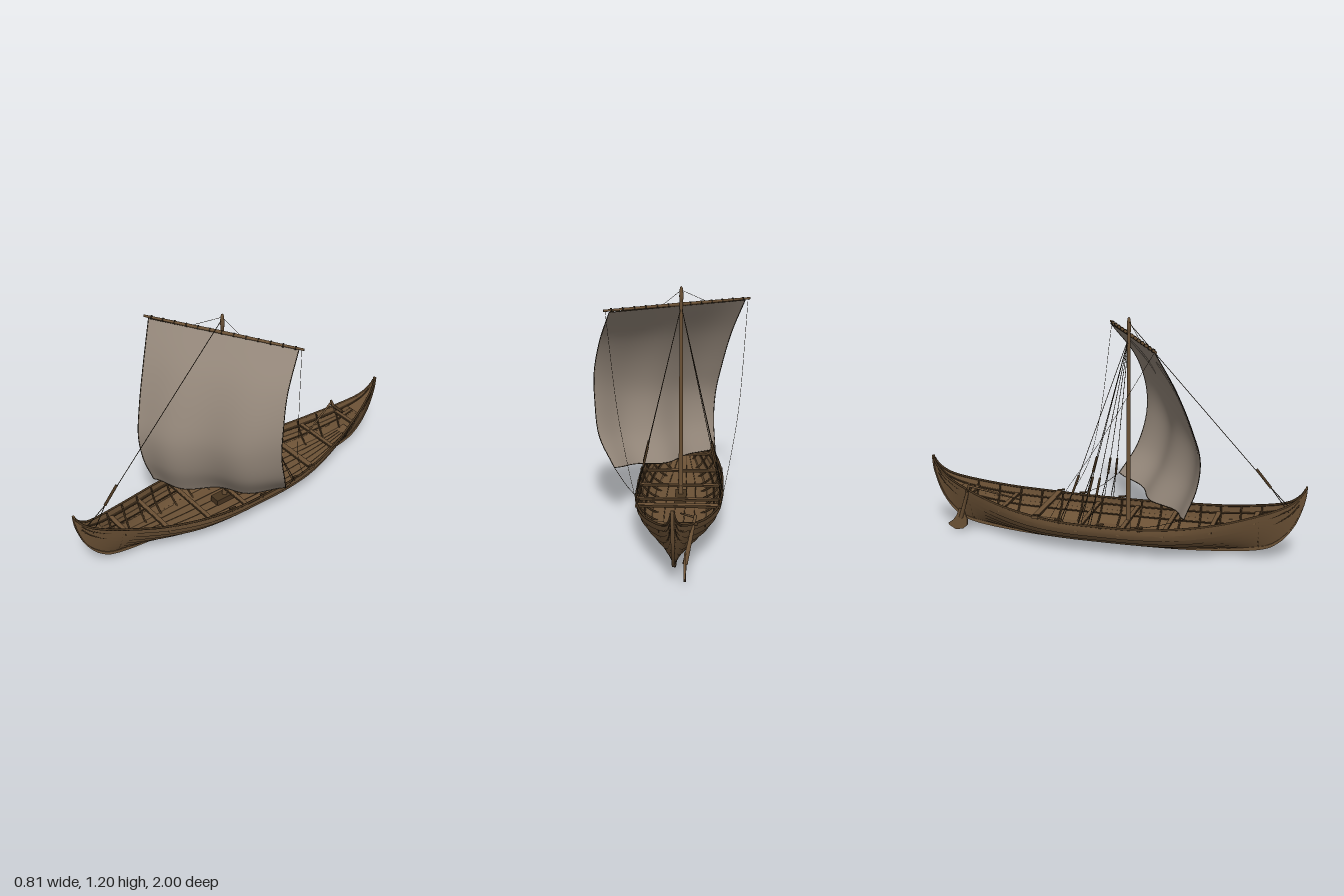
import * as THREE from 'three';
import { toCreasedNormals } from 'three/addons/utils/BufferGeometryUtils.js';

const CX = -0.05; // the hull's centre line
const V = (x, y, z) => new THREE.Vector3(x, y, z);
const mat = (name, color, side = THREE.FrontSide) => {
  const m = new THREE.MeshStandardMaterial({ color, side });
  m.name = name;
  return m;
};

// half-length stations: z, keel height, rail height, half width
const HALF = [[0, .028, .17, .22], [.2, .028, .173, .217], [.4, .031, .188, .192], [.6, .038, .215, .142],
  [.8, .065, .262, .074], [.9, .135, .297, .036], [.95, .21, .33, .019], [.98, .29, .365, .009], [.99, .34, .388, .005]];
const ST = [...HALF.slice(1).reverse().map(([z, ...r]) => [-z, ...r]), ...HALF];
const keelCurve = new THREE.CatmullRomCurve3(ST.map(s => V(s[0], s[1], 0)), false, 'catmullrom', 0.5);
const railCurve = new THREE.CatmullRomCurve3(ST.map(s => V(s[0], s[2], s[3])), false, 'catmullrom', 0.5);

// point on the hull skin: u along the length, t from keel (0) to rail (1)
function hullPoint(u, t, side = 1, out = 0) {
  const k = keelCurve.getPoint(u), r = railCurve.getPoint(u);
  const e = THREE.MathUtils.smoothstep(Math.abs(k.x), 0.3, 0.97), a = t * Math.PI / 2;
  const fx = THREE.MathUtils.lerp(Math.sin(a), t, e), fy = THREE.MathUtils.lerp(1 - Math.cos(a), t, e);
  const o = out * Math.min(1, r.z / 0.1);
  return V(side * (r.z * fx + o * fx), k.y + (r.y - k.y) * fy - o * (1 - t), k.x);
}
function uAt(z) {
  let a = 0, b = 1;
  for (let i = 0; i < 30; i++) { const m = (a + b) / 2; if (keelCurve.getPoint(m).x < z) a = m; else b = m; }
  return a;
}

// surface through rows of points
function loft(rows, crease) {
  const n = rows[0].length, idx = [];
  for (let i = 0; i < rows.length - 1; i++) for (let j = 0; j < n - 1; j++) {
    const a = i * n + j, b = a + n;
    idx.push(a, b, a + 1, a + 1, b, b + 1);
  }
  const g = new THREE.BufferGeometry().setFromPoints(rows.flat());
  g.setIndex(idx);
  g.computeVertexNormals();
  return crease ? toCreasedNormals(g, crease) : g;
}

export function createModel() {
  const wood = mat('oak', 0x6b5135), plank = mat('hull planks', 0x6b5135, THREE.DoubleSide);
  const dark = mat('dark oak', 0x47341f), cloth = mat('sailcloth', 0x94877a, THREE.DoubleSide), rope = mat('rope', 0x2f2518);
  const model = new THREE.Group(), hull = new THREE.Group(), rig = new THREE.Group();
  hull.name = 'hull'; rig.name = 'rigging'; hull.position.x = CX;
  model.add(hull, rig);

  const add = (parent, name, geo, m) => {
    const mesh = new THREE.Mesh(geo, m);
    mesh.name = name;
    parent.add(mesh);
    return mesh;
  };
  const rod = (parent, name, a, b, r1, m, r2 = r1, sides = 10) => {
    const d = b.clone().sub(a);
    const mesh = add(parent, name, new THREE.CylinderGeometry(r2, r1, d.length(), sides), m);
    mesh.position.copy(a).addScaledVector(d, 0.5);
    mesh.quaternion.setFromUnitVectors(V(0, 1, 0), d.normalize());
    return mesh;
  };
  const tube = (parent, name, pts, r, m, seg = 32) =>
    add(parent, name, new THREE.TubeGeometry(new THREE.CatmullRomCurve3(pts), seg, r, 6), m);
  const slab = (parent, name, pts, thick, m) => { // outline in (z, y)
    const g = new THREE.ExtrudeGeometry(new THREE.Shape(pts.map(p => new THREE.Vector2(...p))), { depth: thick, bevelEnabled: false });
    return add(parent, name, g.translate(0, 0, -thick / 2).rotateY(-Math.PI / 2), m);
  };
  const steps = (n, f) => Array.from({ length: n + 1 }, (_, i) => f(i / n));

  // overlapping planks, gunwale and stringers on both sides
  const STRAKES = 7;
  for (const s of [-1, 1]) {
    const rows = steps(64, u => {
      const row = [];
      for (let i = 0; i < STRAKES; i++) {
        for (let k = 0; k <= 2; k++) row.push(hullPoint(u, (i + k / 2) / STRAKES, s, 0.005 * (1 - k / 2)));
      }
      return s > 0 ? row.reverse() : row;
    });
    add(hull, 'planking', loft(rows, 0.35), plank);
    tube(hull, 'gunwale', steps(48, u => hullPoint(u, 1, s)), 0.006, dark, 96);
    for (const t of [0.62, 0.84]) tube(hull, 'stringer', steps(40, i => hullPoint(0.1 + 0.8 * i, t, s, -0.006)), 0.004, dark, 64);
  }

  // keel with its curved stems
  const outer = [[0, 0], [.3, .004], [.5, .014], [.7, .034], [.8, .055], [.85, .08], [.9, .125], [.95, .2], [.98, .28], [.995, .34], [1, .4]];
  const bottom = new THREE.SplineCurve([...outer.slice(1).reverse().map(([z, y]) => new THREE.Vector2(-z, y)),
    ...outer.map(p => new THREE.Vector2(...p))]).getPoints(80).map(p => [p.x, p.y]);
  const inner = steps(60, u => { const p = keelCurve.getPoint(1 - u); return [p.x, p.y + 0.006]; });
  slab(hull, 'keel', [...bottom, [.99, .4], ...inner, [-.99, .4]], 0.016, wood);

  // floor and small end decks
  const deck = (name, z0, z1, t) => add(hull, name, loft(steps(30, i => {
    const u = THREE.MathUtils.lerp(uAt(z0), uAt(z1), i);
    return [hullPoint(u, t, -1), hullPoint(u, t, 1)];
  })), plank);
  deck('floor', -0.8, 0.8, 0.4);
  deck('sternDeck', -0.97, -0.84, 0.82);
  deck('bowDeck', 0.84, 0.97, 0.82);
  for (const f of [-0.6, -0.2, 0.2, 0.6]) {
    tube(hull, 'floorSeam', steps(24, i => {
      const p = hullPoint(uAt(-0.75 + 1.5 * i), 0.4);
      return V(p.x * f, p.y, p.z);
    }), 0.0022, dark, 40);
  }

  // ribs and crossbeams
  for (let i = 0; i < 15; i++) {
    const u = uAt(-0.77 + i * 0.11);
    tube(hull, 'rib', steps(20, k => hullPoint(u, Math.abs(2 * k - 1) * 0.99, k < 0.5 ? -1 : 1, -0.006)), 0.005, dark, 28);
  }
  for (const z of [-0.77, -0.57, -0.35, -0.13, 0.09, 0.31, 0.54, 0.75]) {
    const p = hullPoint(uAt(z), 0.84), wide = z === -0.35;
    const y = wide ? hullPoint(uAt(z), 1).y : p.y;
    add(hull, 'crossbeam', new THREE.BoxGeometry(2 * p.x + (wide ? 0.03 : 0), 0.014, wide ? 0.03 : 0.02), wood).position.set(0, y, z);
    for (const e of [-1, 1])
      add(hull, 'beamEdge', new THREE.BoxGeometry(2 * p.x, 0.01, 0.003), dark).position.set(0, y, z + e * (wide ? 0.016 : 0.011));
  }
  for (const s of [-1, 1]) for (const z of [0.2, 0, -0.22, -0.34]) {
    const p = hullPoint(uAt(z), 1, s);
    rod(hull, 'cleat', V(p.x, p.y + 0.01, z - 0.02), V(p.x, p.y + 0.016, z + 0.02), 0.005, dark);
    rod(hull, 'cleatPost', V(p.x, p.y - 0.01, z), V(p.x, p.y + 0.013, z), 0.005, dark);
  }

  // side rudder and tiller
  const rudder = new THREE.Group();
  rudder.name = 'rudder';
  model.add(rudder);
  const blade = slab(rudder, 'rudderBlade', [[-.81, .13], [-.79, .075], [-.79, .04], [-.815, .015], [-.86, .01], [-.895, .03], [-.9, .04], [-.87, .062], [-.85, .09], [-.835, .13]], 0.01, wood);
  blade.position.x = -0.1;
  rod(rudder, 'rudderShaft', V(-0.145, 0.29, -0.75), V(-0.1, 0.08, -0.825), 0.007, wood, 0.012);
  rod(rudder, 'tiller', V(-0.145, 0.278, -0.755), V(-0.07, 0.2, -0.5), 0.006, wood, 0.004);
  rod(rudder, 'rudderMount', V(-0.155, 0.25, -0.765), V(-0.06, 0.25, -0.765), 0.008, dark);

  // mast and yard
  const mastZ = 0.09;
  rod(rig, 'mast', V(CX, 0.03, mastZ), V(CX, 1.18, mastZ), 0.013, wood, 0.008, 14);
  const head = add(rig, 'masthead', new THREE.LatheGeometry([[0, -.06], [.009, -.06], [.011, -.03], [.009, 0], [.006, .015], [0, .02]]
    .map(p => new THREE.Vector2(...p)), 12), wood);
  head.position.set(CX, 1.18, mastZ);
  add(rig, 'mastStep', new THREE.BoxGeometry(0.06, 0.035, 0.14), dark).position.set(CX, 0.07, mastZ);
  const yardA = V(-0.405, 1.105, 0.31), yardB = V(0.328, 1.105, -0.108);
  const yardMid = yardA.clone().lerp(yardB, 0.5);
  rod(rig, 'yard', yardMid, yardA, 0.009, wood, 0.006);
  rod(rig, 'yard', yardMid, yardB, 0.009, wood, 0.006);
  for (let i = 0; i <= 12; i++) {
    const p = yardA.clone().lerp(yardB, 0.05 + i * 0.075), d = V(0.87, 0, -0.49).multiplyScalar(0.003);
    rod(rig, 'yardLashing', p.clone().sub(d), p.clone().add(d), 0.0105, rope);
  }

  // billowing sail between two curved side edges
  const edgeL = new THREE.CatmullRomCurve3([V(-.38, 1.097, .3), V(-.31, .9, .39), V(-.26, .7, .46), V(-.23, .55, .495), V(-.22, .4, .48), V(-.23, .237, .42)]);
  const edgeR = new THREE.CatmullRomCurve3([V(.3, 1.097, -.1), V(.365, .92, .02), V(.4, .75, .07), V(.4, .6, .075), V(.375, .42, .03), V(.29, .275, -.05)]);
  const sailPoint = (u, v) => {
    const p = edgeL.getPoint(v).lerp(edgeR.getPoint(v), u);
    const belly = 0.045 * Math.sin(2 * Math.PI * u) ** 2 * v + 0.02 * Math.sin(Math.PI * u) * Math.sin(Math.PI * v);
    p.addScaledVector(V(0.49, 0, 0.87), belly);
    p.y -= 0.028 * Math.sin(Math.PI * u) * v * v;
    return p;
  };
  add(rig, 'sail', loft(steps(36, v => steps(36, u => sailPoint(u, v)))), cloth).geometry.computeVertexNormals();
  for (const f of [k => sailPoint(0, k), k => sailPoint(1, k), k => sailPoint(k, 1), k => sailPoint(k, 0)])
    tube(rig, 'boltRope', steps(24, f), 0.0022, rope, 48);

  // forestay, splitting into a bridle at the bow
  const stayTop = V(CX, 1.16, mastZ + 0.01), stayEnd = V(CX, 0.38, 0.82);
  rod(rig, 'forestay', stayTop, stayEnd, 0.0018, rope);
  rod(rig, 'forestayBlock', V(CX, 0.47, 0.745), stayEnd, 0.007, dark);
  for (const s of [-1, 1]) rod(rig, 'bridle', stayEnd, V(CX + s * 0.03, 0.27, 0.915), 0.002, rope);

  // shrouds with tackle at the rails
  for (const s of [-1, 1]) {
    for (const z of [-0.05, -0.1, -0.2]) {
      const p = hullPoint(uAt(z), 1, s), foot = V(p.x + CX, p.y, z), top = V(CX, 1.1, mastZ);
      rod(rig, 'shroud', foot, top, 0.0016, rope);
      rod(rig, 'shroudBlock', foot.clone().lerp(top, 0.16), foot.clone().lerp(top, 0.26), 0.006, dark);
      rod(rig, 'lanyard', V(foot.x, foot.y, z - 0.015), foot.clone().lerp(top, 0.18), 0.002, rope);
    }
  }

  // braces, sheets and yard lifts
  tube(rig, 'brace', [V(-.395, 1.1, .3), V(-.35, .6, .0), V(-.31, .38, -.15), V(-.265, .18, -.27)], 0.001, rope);
  tube(rig, 'brace', [V(.32, 1.1, -.1), V(.26, .6, -.15), V(.21, .35, -.2), V(.162, .18, -.28)], 0.001, rope);
  tube(rig, 'sheet', [V(-.23, .237, .42), V(-.245, .2, .3), V(-.262, .18, .2)], 0.0014, rope);
  tube(rig, 'sheet', [V(.29, .275, -.05), V(.22, .21, -.14), V(.163, .18, -.22)], 0.0014, rope);
  for (const k of [0.3, 0.62]) rod(rig, 'yardLift', V(CX, 1.18, mastZ), yardA.clone().lerp(yardB, k), 0.0011, rope);

  return model;
}
